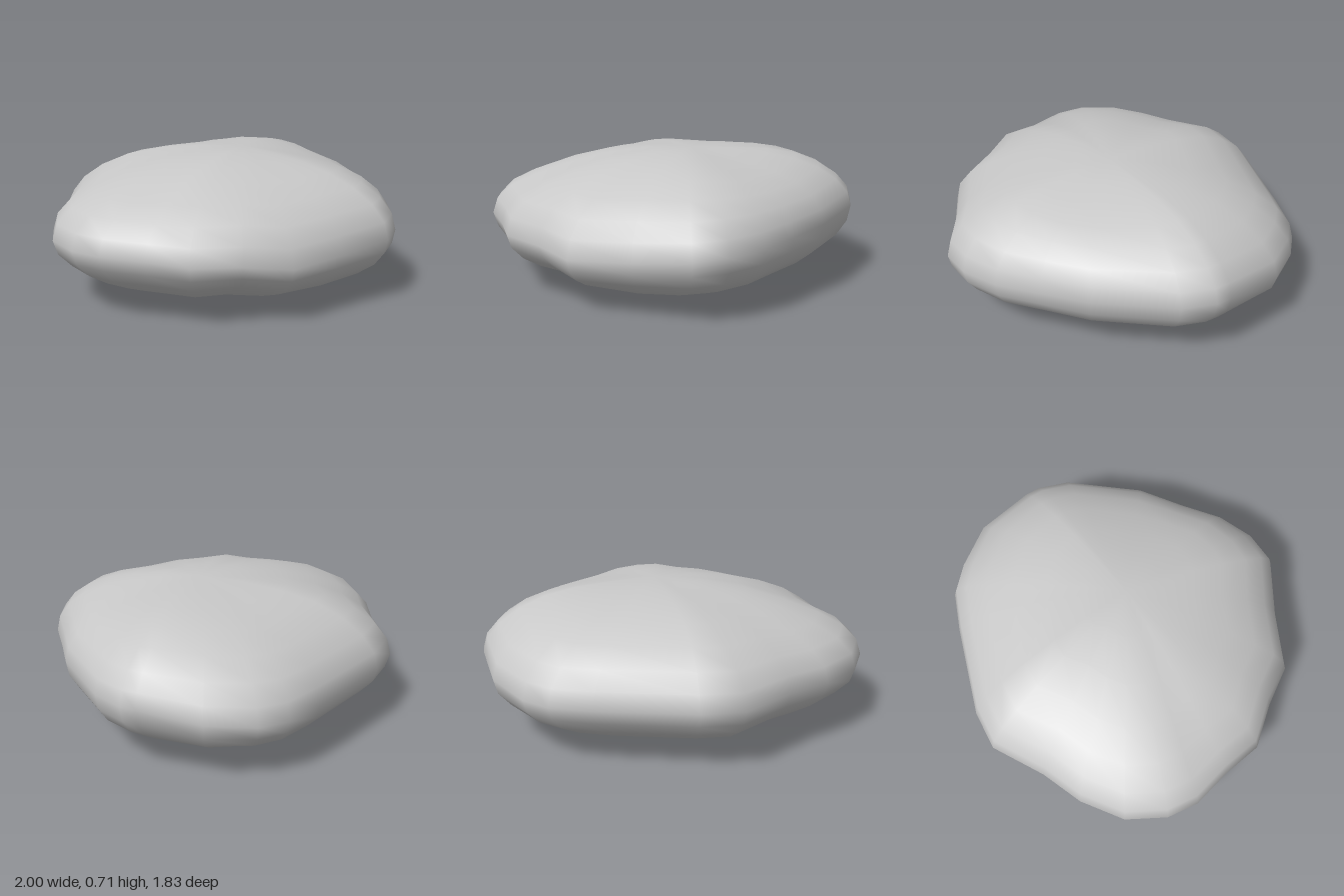
import * as THREE from 'three';
import { mergeVertices } from 'three/addons/utils/BufferGeometryUtils.js';

// Widest contour of the stone, from -x round by the front: x, z, height,
// then how sloped the wall is above and below it (1 = round, less = steeper)
const RIM = [
  [-1, -0.17, 0.34, 1, 1], [-0.99, 0, 0.34, 1.05, 1], [-0.9, 0.2, 0.33, 1.05, 0.95],
  [-0.83, 0.41, 0.32, 1, 0.9], [-0.64, 0.57, 0.31, 1.05, 0.85], [-0.48, 0.74, 0.29, 1.05, 0.75],
  [-0.17, 0.82, 0.3, 1.05, 0.65], [0.11, 0.915, 0.33, 1, 0.7], [0.28, 0.87, 0.34, 0.95, 0.65],
  [0.45, 0.75, 0.35, 0.85, 0.6], [0.6, 0.57, 0.36, 0.8, 0.6], [0.77, 0.38, 0.38, 0.85, 0.65],
  [0.97, 0, 0.39, 0.9, 0.72], [0.995, -0.17, 0.39, 0.9, 0.75], [0.98, -0.25, 0.39, 0.9, 0.75],
  [0.88, -0.55, 0.36, 0.95, 0.8], [0.71, -0.73, 0.33, 1, 0.85], [0.58, -0.815, 0.33, 1, 0.9],
  [0.37, -0.855, 0.33, 1, 0.9], [-0.12, -0.915, 0.34, 0.95, 0.95], [-0.33, -0.89, 0.34, 0.95, 0.95],
  [-0.56, -0.69, 0.34, 1, 1], [-0.76, -0.56, 0.34, 1, 1], [-0.93, -0.38, 0.34, 1, 1],
];
const TOP = { x: 0.1, y: 0.72, z: 0.03 };
const BOTTOM = { x: -0.18, y: 0.005, z: -0.15 };

// Swellings (+) and hollows (-): x, z, height, radius
const TOP_BUMPS = [
  [0.7, -0.3, 0.03, 0.3], [-0.7, -0.4, -0.03, 0.25], [-0.75, 0.1, -0.04, 0.25],
  [0.42, 0.3, -0.04, 0.28], [-0.35, 0.55, -0.02, 0.25], [-0.1, -0.6, 0.02, 0.25],
];
const BOTTOM_BUMPS = [[-0.55, 0.5, 0.04, 0.2], [0.35, 0.35, 0.03, 0.4]];

const bumpAt = (bumps, x, z) => bumps.reduce((sum, [bx, bz, h, r]) =>
  sum + h * Math.exp(-((x - bx) ** 2 + (z - bz) ** 2) / (r * r)), 0);

function stoneGeometry() {
  const cols = RIM.length, rows = 14;
  const geo = new THREE.SphereGeometry(1, cols, rows);
  const pos = geo.attributes.position;
  for (let row = 0; row <= rows; row++) {
    for (let col = 0; col <= cols; col++) {
      const [rx, rz, ry, slopeAbove, slopeBelow] = RIM[col % cols];
      const angle = Math.PI * (0.5 - row / rows);
      const upper = angle >= 0;
      const rise = Math.abs(Math.sin(angle));
      const spread = row % rows === 0 ? 0 : Math.cos(angle) ** (upper ? slopeAbove : slopeBelow);
      const pole = upper ? TOP : BOTTOM;
      // Rounded section, leaning towards the off-centre crown or base
      const x = rx * spread + pole.x * rise * rise * (1 - spread);
      const z = rz * spread + pole.z * rise * rise * (1 - spread);
      const bump = bumpAt(upper ? TOP_BUMPS : BOTTOM_BUMPS, x, z) * rise;
      const y = ry + (pole.y - ry) * rise + bump;
      pos.setXYZ(row * (cols + 1) + col, x, Math.max(y, 0), z);
    }
  }
  // Weld the seam so the shading is continuous
  geo.deleteAttribute('normal');
  geo.deleteAttribute('uv');
  const welded = mergeVertices(geo, 1e-4);
  welded.computeVertexNormals();
  return welded;
}

export function createModel() {
  const group = new THREE.Group();
  group.name = 'rock';
  const stoneGrey = new THREE.MeshStandardMaterial({ color: 0xc8c8c8 });
  stoneGrey.name = 'stone grey';
  const stone = new THREE.Mesh(stoneGeometry(), stoneGrey);
  stone.name = 'stone';
  group.add(stone);
  return group;
}
